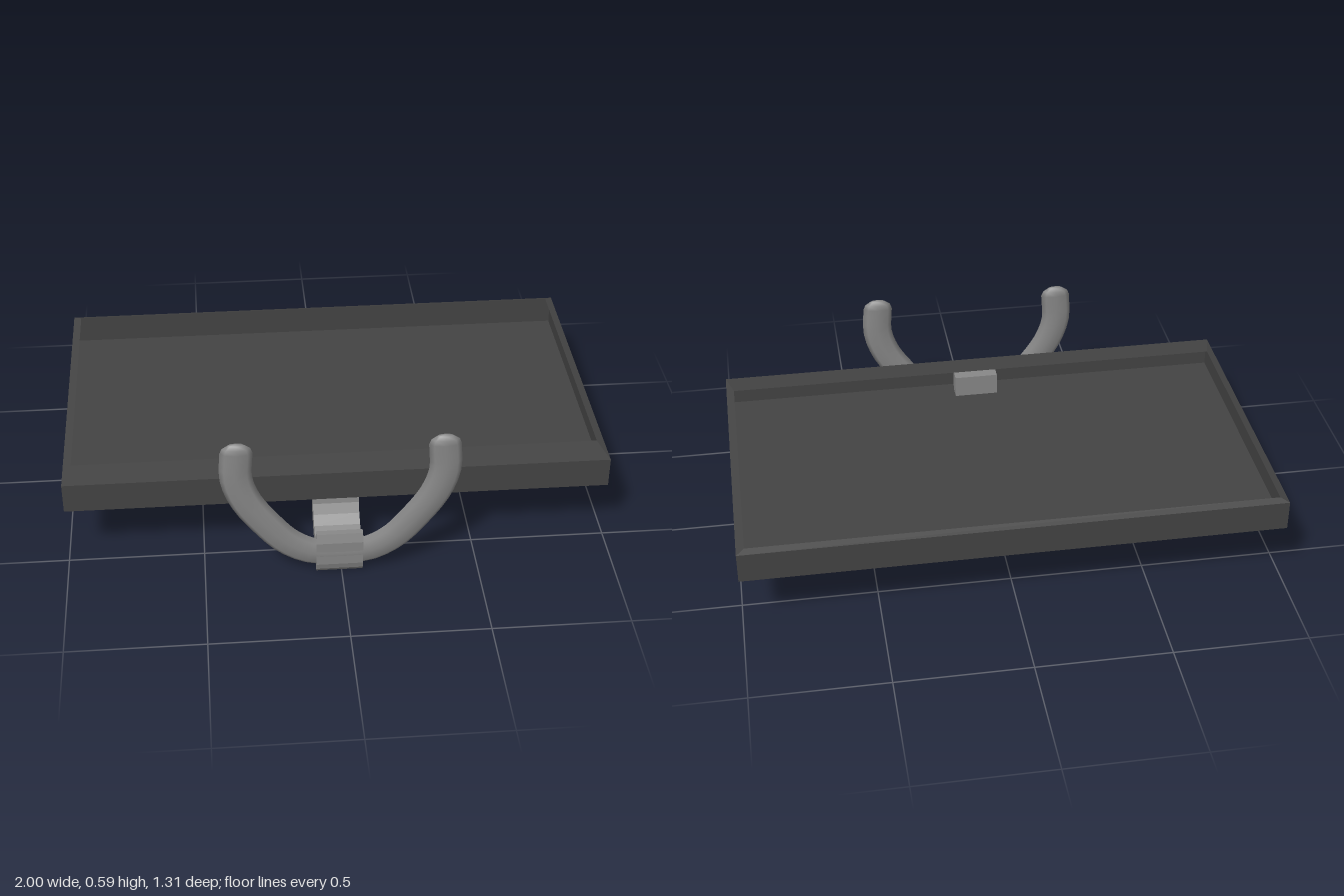
import * as THREE from 'three';

export function createModel() {
  const model = new THREE.Group();
  const dark = new THREE.MeshStandardMaterial({ color: 0x444444, side: THREE.DoubleSide });
  const grey = new THREE.MeshStandardMaterial({ color: 0x888888, flatShading: true });
  const smoothGrey = new THREE.MeshStandardMaterial({ color: 0x888888 });

  const add = (name, geometry, material, parent = model) => {
    const mesh = new THREE.Mesh(geometry, material);
    mesh.name = name;
    parent.add(mesh);
    return mesh;
  };

  // Hollow, open-topped screen housing lying on its back
  const back = -0.655, front = 0.51, bottom = 0.235, rim = 0.35, t = 0.004;
  const housing = new THREE.Group();
  housing.name = 'screenHousing';
  model.add(housing);
  const plate = (name, w, h, d, x, y, z) =>
    add(name, new THREE.BoxGeometry(w, h, d), dark, housing).position.set(x, y, z);
  const depth = front - back, midZ = (front + back) / 2;
  const height = rim - bottom, midY = (rim + bottom) / 2;
  plate('backPanel', 2, t, depth, 0, bottom + t / 2, midZ);
  for (const s of [-1, 1]) {
    plate('sideWall', t, height, depth, s * (1 - t / 2), midY, midZ);
    plate('endWall', 2, height, t, 0, midY, midZ + s * (depth - t) / 2);
  }

  // Bezel: sloping lip from the outer rim to the screen opening, wider at the front
  const corners = (x, y, z0, z1) => [[-x, y, z0], [-x, y, z1], [x, y, z1], [x, y, z0]];
  const outer = corners(1, rim, back, front);
  const inner = corners(0.97, 0.36, -0.63, 0.40);
  const lip = [];
  for (let i = 0; i < 4; i++) {
    const j = (i + 1) % 4;
    lip.push(...outer[i], ...outer[j], ...inner[j], ...outer[i], ...inner[j], ...inner[i]);
  }
  const bezel = new THREE.BufferGeometry();
  bezel.setAttribute('position', new THREE.Float32BufferAttribute(lip, 3));
  bezel.computeVertexNormals();
  add('bezel', bezel, dark, housing);

  // Extrudes a (z, y) side profile across x
  const sideExtrude = (points, x0, x1) => {
    const shape = new THREE.Shape(points.map(([z, y]) => new THREE.Vector2(z, y)));
    const geo = new THREE.ExtrudeGeometry(shape, { depth: x1 - x0, bevelEnabled: false });
    return geo.rotateY(-Math.PI / 2).translate(x1, 0, 0);
  };

  // Curved neck, its upper end reaching inside the housing
  add('standNeck', sideExtrude([
    [0.412, 0.325], [0.412, 0.2], [0.422, 0.155], [0.442, 0.118], [0.485, 0.08],
    [0.525, 0.062], [0.567, 0.05], [0.63, 0.045], [0.63, 0.11], [0.58, 0.112],
    [0.535, 0.13], [0.5, 0.155], [0.48, 0.19], [0.473, 0.23], [0.473, 0.325],
  ], -0.093, 0.077), grey);

  // Clamp joining the neck to the foot
  add('standClamp', sideExtrude([
    [0.632, 0], [0.648, 0.02], [0.655, 0.045], [0.655, 0.14], [0.645, 0.175],
    [0.622, 0.175], [0.612, 0.145], [0.612, 0.035],
  ], -0.093, 0.077), grey);

  // U-shaped foot: two mirrored flattened tubes with rounded tips
  const radius = 0.058, flatten = 0.37;
  for (const s of [-1, 1]) {
    const path = new THREE.CatmullRomCurve3([
      [0, 0.09], [0.1, 0.096], [0.19, 0.145], [0.27, 0.235],
      [0.34, 0.34], [0.372, 0.44], [0.368, 0.55],
    ].map(([x, y]) => new THREE.Vector3(s * x, y, 0)));
    const foot = new THREE.Group();
    foot.name = s > 0 ? 'leftFoot' : 'rightFoot';
    foot.position.set(-0.004, 0, 0.635);
    foot.scale.z = flatten;
    model.add(foot);
    add('footArm', new THREE.TubeGeometry(path, 18, radius, 8), smoothGrey, foot);
    const tip = add('footTip', new THREE.SphereGeometry(radius, 8, 6), smoothGrey, foot);
    tip.position.set(s * 0.368, 0.55, 0);
    tip.scale.y = 0.68;
  }
  return model;
}
